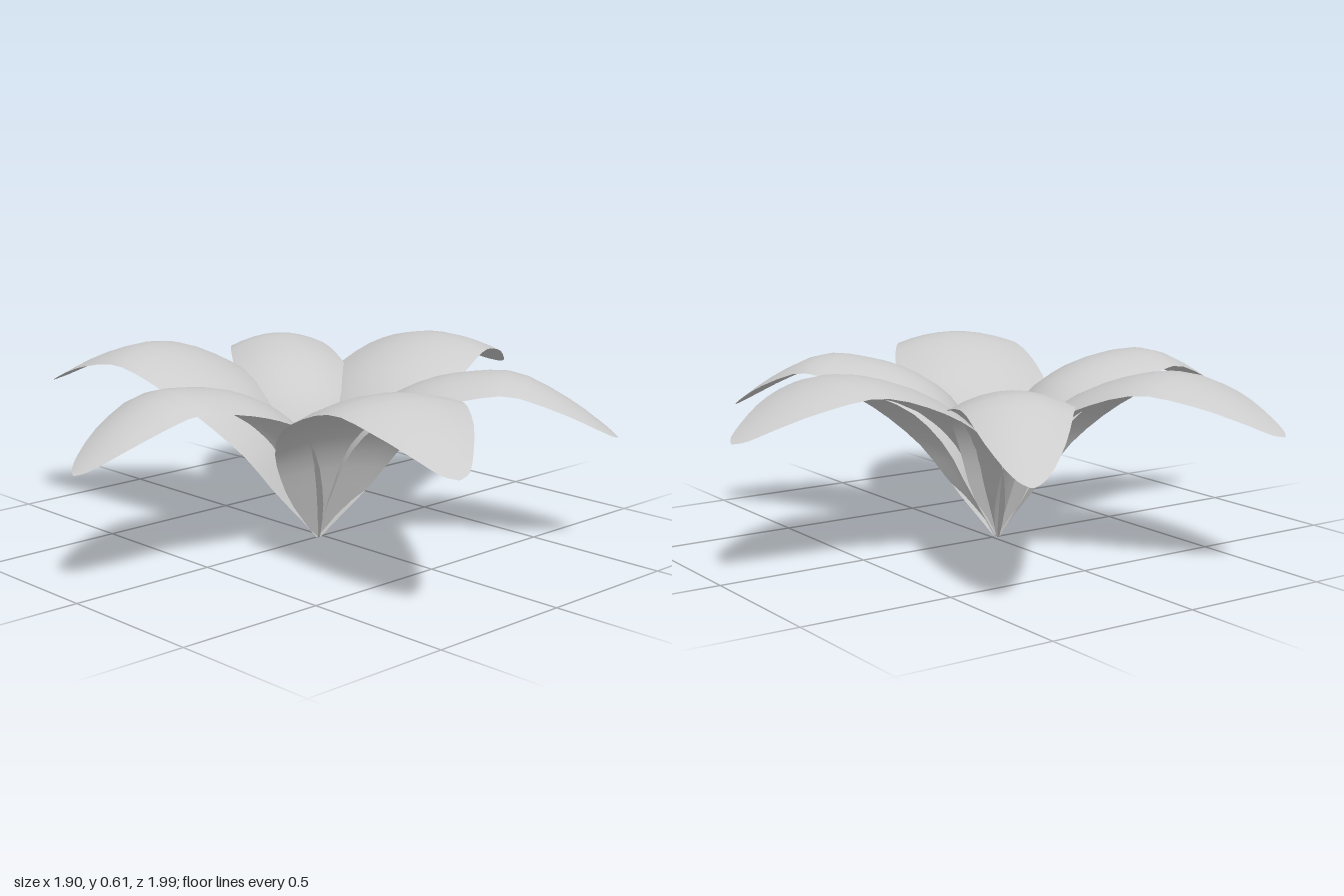
import * as THREE from 'three';

// Stations along a petal: [distance out, height, half width]
const OUTER = [[0, 0, 0.01], [0.07, 0.18, 0.14], [0.14, 0.34, 0.215], [0.28, 0.49, 0.26], [0.45, 0.575, 0.25],
  [0.63, 0.61, 0.215], [0.8, 0.565, 0.16], [0.93, 0.5, 0.09], [1.0, 0.46, 0.04], [1.02, 0.45, 0.004]];
const INNER = [[0, 0, 0.01], [0.05, 0.17, 0.09], [0.11, 0.34, 0.135], [0.21, 0.47, 0.17], [0.36, 0.55, 0.195],
  [0.5, 0.58, 0.187], [0.64, 0.583, 0.165], [0.81, 0.505, 0.12], [0.92, 0.43, 0.065], [0.96, 0.4, 0.03], [0.975, 0.39, 0.004]];

// Arched sheet swept along the stations, growing towards +z
function petalGeometry(stations, arch, rows = 24, cols = 8) {
  const curve = new THREE.CatmullRomCurve3(stations.map((s) => new THREE.Vector3(...s)));
  const positions = [];
  const indices = [];
  for (let i = 0; i <= rows; i++) {
    const t = i / rows;
    const p = curve.getPoint(t);
    const d = curve.getTangent(t);
    const len = Math.hypot(d.x, d.y);
    for (let j = 0; j <= cols; j++) {
      const w = p.z * (2 * j / cols - 1);
      const drop = arch * w * w;
      // edges fall away to the underside of the petal
      positions.push(w, p.y - drop * d.x / len, p.x + drop * d.y / len);
      if (i < rows && j < cols) {
        const a = i * (cols + 1) + j;
        const b = a + cols + 1;
        indices.push(a, b, a + 1, b, b + 1, a + 1);
      }
    }
  }
  const g = new THREE.BufferGeometry();
  g.setAttribute('position', new THREE.Float32BufferAttribute(positions, 3));
  g.setIndex(indices);
  g.computeVertexNormals();
  return g;
}

export function createModel() {
  const flower = new THREE.Group();
  flower.name = 'flower';
  const petalGrey = new THREE.MeshStandardMaterial({ color: 0xcccccc, side: THREE.DoubleSide });
  petalGrey.name = 'petalGrey';

  // Two whorls of three petals, each aimed at its tip (x, z from the base)
  const whorls = [
    ['outerPetal', petalGeometry(OUTER, 0.9), [[-0.1, -1.015], [0.94, 0.36], [-0.945, 0.38]]],
    ['innerPetal', petalGeometry(INNER, 1.5), [[0, 0.97], [0.81, -0.56], [-0.85, -0.48]]],
  ];
  for (const [name, geometry, tips] of whorls) {
    tips.forEach(([x, z], i) => {
      const petal = new THREE.Mesh(geometry, petalGrey);
      petal.name = name + (i + 1);
      petal.rotation.y = Math.atan2(x, z);
      petal.position.z = 0.02;
      flower.add(petal);
    });
  }
  return flower;
}
